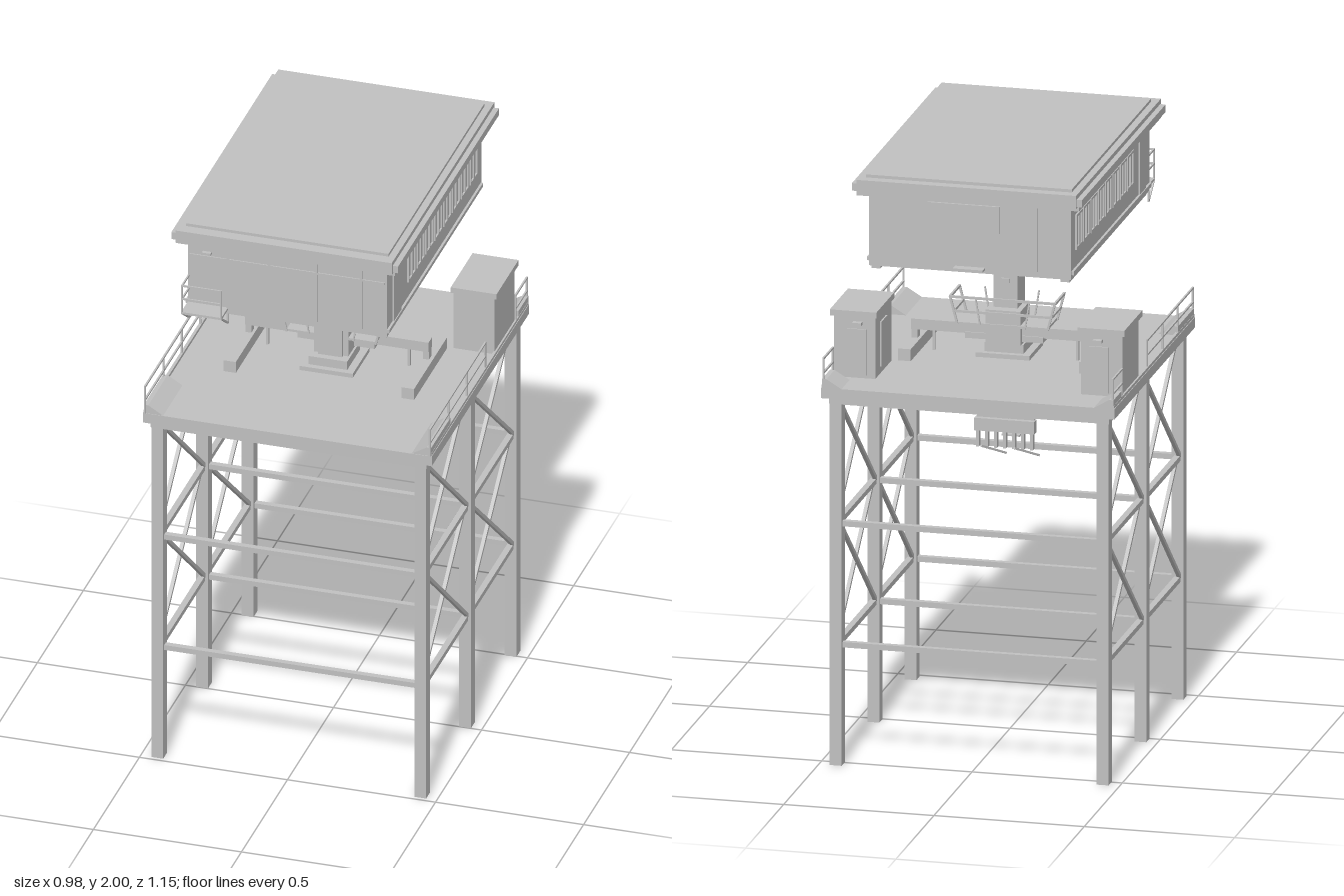
import * as THREE from 'three';

const steel = new THREE.MeshStandardMaterial({ color: 0xc0c0c0 });
steel.name = 'light grey steel';

// Box given by its extents on each axis
function box(parent, name, x0, x1, y0, y1, z0, z1) {
  const mesh = new THREE.Mesh(new THREE.BoxGeometry(x1 - x0, y1 - y0, z1 - z0), steel);
  mesh.position.set((x0 + x1) / 2, (y0 + y1) / 2, (z0 + z1) / 2);
  mesh.name = name;
  parent.add(mesh);
  return mesh;
}

// Square bar between two points
function bar(parent, name, a, b, t) {
  const p = new THREE.Vector3(...a), q = new THREE.Vector3(...b);
  const mesh = new THREE.Mesh(new THREE.BoxGeometry(t, t, p.distanceTo(q)), steel);
  mesh.position.copy(p).add(q).multiplyScalar(0.5);
  mesh.lookAt(q);
  mesh.name = name;
  parent.add(mesh);
}

// Box on side s (+1 or -1), with x measured outward
function sideBox(parent, name, s, x0, x1, ...rest) {
  return box(parent, name, s > 0 ? x0 : -x1, s > 0 ? x1 : -x0, ...rest);
}

function group(parent, name) {
  const g = new THREE.Group();
  g.name = name;
  parent.add(g);
  return g;
}

function buildTower(root) {
  const g = group(root, 'supportTower');
  const rows = [0.465, -0.022, -0.517];
  for (const s of [-1, 1]) {
    for (const z of rows) sideBox(g, 'leg', s, 0.424, 0.464, 0, 1.22, z - 0.021, z + 0.021);
    // Side rails and cross bracing
    for (let i = 0; i < 2; i++) {
      const za = rows[i] - 0.02, zb = rows[i + 1] + 0.02, x = s * 0.444;
      for (const y of [0.405, 0.813]) {
        sideBox(g, 'sideRail', s, 0.434, 0.454, y - 0.009, y + 0.009, zb, za);
        bar(g, 'crossBrace', [x - 0.006, y + 0.01, za], [x - 0.006, y + 0.395, zb], 0.012);
        bar(g, 'crossBrace', [x + 0.006, y + 0.01, zb], [x + 0.006, y + 0.395, za], 0.012);
      }
    }
  }
  for (const z of rows)
    for (const y of [0.405, 0.813])
      box(g, 'crossRail', -0.425, 0.425, y - 0.009, y + 0.009, z - 0.01, z + 0.01);
}

function buildDeck(root) {
  const g = group(root, 'deck');
  box(g, 'deckFrame', -0.466, 0.466, 1.218, 1.242, -0.54, 0.487);
  box(g, 'deckSlab', -0.488, 0.488, 1.24, 1.275, -0.557, 0.502);
  for (const s of [-1, 1]) {
    sideBox(g, 'kerb', s, 0.476, 0.486, 1.27, 1.285, -0.555, 0.5);
    // Sloping kerb blocks at the corners
    const profile = new THREE.Shape([[0.415, 1.272], [0.485, 1.272], [0.485, 1.305], [0.47, 1.305]]
      .map(([x, y]) => new THREE.Vector2(s * x, y)));
    for (const [z0, z1] of [[0.29, 0.5], [-0.557, -0.45]]) {
      const wedge = new THREE.Mesh(
        new THREE.ExtrudeGeometry(profile, { depth: z1 - z0, bevelEnabled: false }), steel);
      wedge.position.z = z0;
      wedge.name = 'slopedKerb';
      g.add(wedge);
    }
    // Handrails before and behind each booth
    for (const [z0, z1, n] of [[-0.1, 0.5, 3], [-0.552, -0.43, 1]]) {
      for (const y of [1.325, 1.373])
        sideBox(g, 'handrail', s, 0.478, 0.484, y - 0.003, y + 0.003, z0, z1);
      for (let i = 0; i <= n; i++) {
        const z = z0 + (z1 - z0) * i / n;
        sideBox(g, 'railPost', s, 0.478, 0.484, 1.27, 1.376, z - 0.003, z + 0.003);
      }
    }
    // Booths
    const booth = group(g, 'booth');
    sideBox(booth, 'boothBody', s, 0.342, 0.48, 1.27, 1.485, -0.42, -0.206);
    sideBox(booth, 'boothRoof', s, 0.335, 0.49, 1.483, 1.503, -0.434, -0.196);
    sideBox(booth, 'boothDoor', s, 0.37, 0.435, 1.285, 1.44, -0.425, -0.42);
    sideBox(booth, 'boothHatch', s, 0.337, 0.342, 1.3, 1.45, -0.36, -0.28);
    sideBox(booth, 'boothLamp', s, 0.385, 0.415, 1.455, 1.465, -0.44, -0.42);
  }
}

function buildColumn(root) {
  const g = group(root, 'centralColumn');
  box(g, 'column', -0.04, 0.04, 1.27, 1.7, -0.058, 0.037);
  box(g, 'basePlate', -0.09, 0.09, 1.27, 1.29, -0.1, 0.08);
  box(g, 'baseBlock', -0.065, 0.065, 1.285, 1.32, -0.08, 0.06);
  box(g, 'machineHousing', -0.058, 0.058, 1.32, 1.435, -0.095, 0.025);
  box(g, 'columnLamp', -0.015, 0.015, 1.52, 1.535, -0.065, -0.055);
  box(g, 'crossBeam', -0.31, 0.31, 1.345, 1.38, -0.075, -0.035);
  for (const s of [-1, 1]) {
    sideBox(g, 'floorBeam', s, 0.28, 0.322, 1.275, 1.315, -0.2, 0.16);
    sideBox(g, 'beamFoot', s, 0.29, 0.31, 1.31, 1.35, -0.07, -0.04);
    sideBox(g, 'beamPost', s, 0.235, 0.243, 1.275, 1.35, -0.06, -0.05);
    sideBox(g, 'beamCollar', s, 0.06, 0.13, 1.33, 1.35, -0.08, -0.03);
    // Flared guard rail around the column
    for (const z of [-0.1, 0.025]) {
      bar(g, 'guardPost', [s * 0.15, 1.38, z], [s * 0.175, 1.475, z], 0.007);
      bar(g, 'guardPost', [s * 0.075, 1.38, z], [s * 0.09, 1.475, z], 0.005);
    }
    for (const [x, y] of [[0.175, 1.472], [0.163, 1.425]])
      sideBox(g, 'guardSideRail', s, x - 0.004, x + 0.003, y - 0.004, y + 0.004, -0.1, 0.025);
  }
  box(g, 'guardFloor', -0.15, 0.15, 1.38, 1.388, -0.1, 0.025);
  for (const [x, y] of [[0.175, 1.472], [0.163, 1.425]])
    box(g, 'guardBackRail', -x, x, y - 0.004, y + 0.004, -0.103, -0.097);
}

function buildUnderslung(root) {
  const g = group(root, 'hangingRig');
  // Ladder below the deck
  box(g, 'ladderPanel', -0.027, 0.027, 1.03, 1.22, 0.034, 0.042);
  box(g, 'ladderStem', -0.006, 0.006, 0.98, 1.22, 0.03, 0.045);
  for (const y of [0.985, 1.06, 1.13, 1.2])
    box(g, 'ladderStep', -0.03, 0.03, y - 0.003, y + 0.003, 0.008, 0.07);
  // Hanging frame with prongs
  box(g, 'rigHanger', -0.012, 0.012, 1.06, 1.22, -0.062, -0.05);
  box(g, 'rigBeam', -0.1, 0.1, 1.02, 1.062, -0.078, -0.045);
  box(g, 'rigBackPlate', -0.095, 0.095, 1.06, 1.085, -0.06, -0.05);
  for (const y of [1.1, 1.12]) box(g, 'rigRail', -0.1, 0.1, y - 0.003, y + 0.003, -0.056, -0.05);
  for (let i = 0; i < 7; i++) {
    const x = -0.09 + i * 0.03;
    box(g, 'prong', x - 0.005, x + 0.005, 0.965, 1.022, -0.075, -0.055);
    if (i % 2 === 0) box(g, 'rigPost', x - 0.004, x + 0.004, 1.06, 1.12, -0.058, -0.05);
  }
  for (const x of [-0.11, 0])
    bar(g, 'slantedArm', [x, 0.945, -0.055], [x + 0.055, 0.997, -0.165], 0.007);
}

function buildCabin(root) {
  const g = group(root, 'cabin');
  box(g, 'cabinBody', -0.336, 0.336, 1.69, 1.94, -0.525, 0.502);
  // Stepped roof
  box(g, 'roofSoffit', -0.37, 0.37, 1.932, 1.952, -0.555, 0.52);
  box(g, 'roofEave', -0.383, 0.383, 1.95, 1.975, -0.566, 0.53);
  box(g, 'roofGutter', -0.365, 0.365, 1.945, 1.99, -0.575, 0.541);
  box(g, 'roofTop', -0.342, 0.342, 1.985, 2.0, -0.54, 0.502);
  // Framed windows along both sides
  for (const s of [-1, 1]) {
    for (let i = 0; i < 8; i++) {
      const z = 0.24 - i * 0.096;
      for (const dz of [-0.036, 0, 0.036])
        sideBox(g, 'windowMullion', s, 0.336, 0.342, 1.78, 1.89, z + dz - 0.004, z + dz + 0.004);
      for (const y of [1.78, 1.89])
        sideBox(g, 'windowRail', s, 0.336, 0.342, y - 0.004, y + 0.004, z - 0.04, z + 0.04);
    }
    sideBox(g, 'sideDoor', s, 0.336, 0.341, 1.71, 1.9, 0.36, 0.44);
    sideBox(g, 'sideSill', s, 0.336, 0.344, 1.705, 1.718, -0.52, 0.5);
    sideBox(g, 'floorRunner', s, 0.3, 0.33, 1.68, 1.692, -0.52, 0.49);
  }
  // Front and back wall panels
  for (const x of [-0.2, -0.06, 0.1, 0.25])
    box(g, 'frontBatten', x - 0.004, x + 0.004, 1.71, 1.93, 0.502, 0.506);
  box(g, 'frontLintel', -0.33, 0.33, 1.885, 1.892, 0.502, 0.506);
  box(g, 'frontLamp', -0.285, -0.255, 1.9, 1.908, 0.502, 0.515);
  box(g, 'backPanel', -0.1, 0.14, 1.83, 1.92, -0.533, -0.525);
  box(g, 'backShelf', -0.05, 0.05, 1.703, 1.71, -0.557, -0.525);
  for (const x of [-0.22, 0.24])
    box(g, 'backBatten', x - 0.004, x + 0.004, 1.71, 1.93, -0.53, -0.525);
  // Floor plates
  box(g, 'underPlate', -0.23, 0.23, 1.673, 1.69, 0.14, 0.37);
  box(g, 'columnCap', -0.09, 0.09, 1.682, 1.692, -0.1, 0.08);

  // Corner balcony
  const b = group(g, 'balcony');
  box(b, 'balconyFloor', -0.336, -0.2, 1.704, 1.712, 0.5, 0.575);
  for (const y of [1.76, 1.808]) {
    box(b, 'balconyRail', -0.336, -0.2, y - 0.003, y + 0.003, 0.57, 0.575);
    box(b, 'balconySideRail', -0.336, -0.331, y - 0.003, y + 0.003, 0.5, 0.575);
  }
  for (const x of [-0.334, -0.202]) {
    box(b, 'balconyPost', x - 0.002, x + 0.003, 1.704, 1.811, 0.57, 0.575);
    bar(b, 'balconyBracket', [x, 1.708, 0.573], [x, 1.655, 0.5], 0.006);
    box(b, 'bracketPost', x - 0.003, x + 0.003, 1.652, 1.705, 0.496, 0.502);
  }
}

export function createModel() {
  const root = new THREE.Group();
  root.name = 'elevatedCabinPlatform';
  buildTower(root);
  buildDeck(root);
  buildColumn(root);
  buildUnderslung(root);
  buildCabin(root);
  return root;
}
